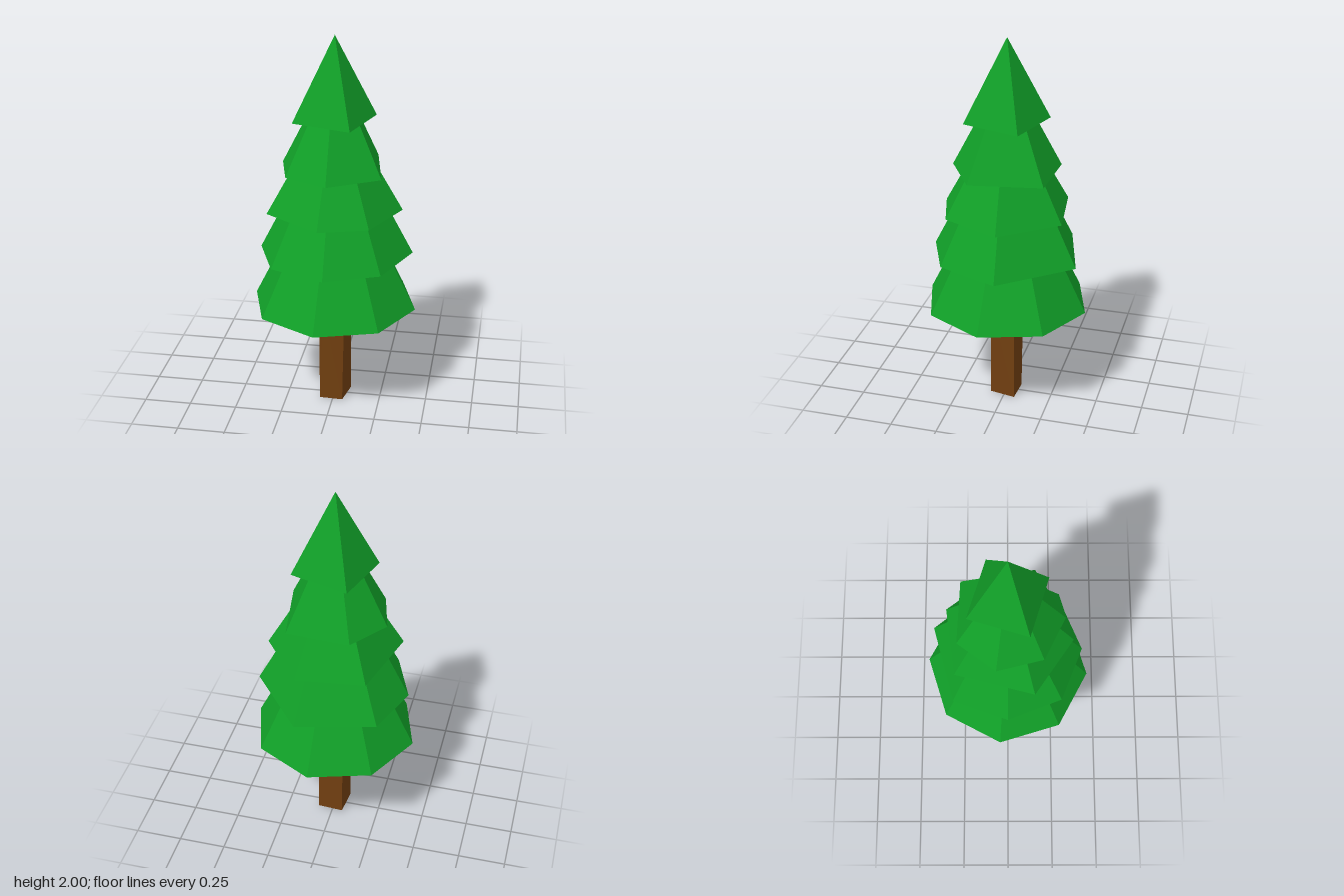
import * as THREE from 'three';

const green = new THREE.MeshStandardMaterial({ color: 0x11a028 });
green.name = 'needle green';
const brown = new THREE.MeshStandardMaterial({ color: 0x713f10 });
brown.name = 'bark brown';
const tan = new THREE.MeshStandardMaterial({ color: 0xd8ae74 });
tan.name = 'cut wood';

// Flat-shaded mesh from a list of triangles; collapsed triangles are skipped
function facetMesh(name, triangles, material) {
  const points = triangles
    .filter((t) => new THREE.Triangle(...t).getArea() > 1e-7)
    .flat();
  const geometry = new THREE.BufferGeometry().setFromPoints(points);
  geometry.computeVertexNormals();
  const mesh = new THREE.Mesh(geometry, material);
  mesh.name = name;
  return mesh;
}

const ring = (points, y) => points.map(([x, z]) => new THREE.Vector3(x, y, z));

// Side walls between two rings of equal length
function walls(low, high) {
  return low.flatMap((a, i) => {
    const j = (i + 1) % low.length;
    return [[a, high[i], high[j]], [a, high[j], low[j]]];
  });
}

// Downward-facing cap
function cap(low) {
  const centre = low.reduce((s, p) => s.add(p), new THREE.Vector3()).divideScalar(low.length);
  return low.map((a, i) => [centre, a, low[(i + 1) % low.length]]);
}

// Ring of corners at given [degrees, radius]
const polar = (corners) => corners.map(([deg, r]) => {
  const a = THREE.MathUtils.degToRad(deg);
  return [r * Math.cos(a), r * Math.sin(a)];
});
const regular = (n, start, r) => Array.from({ length: n }, (_, i) => [start + (i * 360) / n, r]);

export function createModel() {
  const tree = new THREE.Group();
  tree.name = 'pineTree';

  // Foliage tiers, bottom to top: slightly irregular cones
  const tiers = [
    { base: 0.56, apex: 1.43, corners: regular(8, 5.5, 0.435) },
    {
      base: 0.85, apex: 1.62,
      corners: [[45, 0.392], [90, 0.392], [135, 0.398], [180, 0.392], [225, 0.405], [286.6, 0.41], [354.4, 0.407]],
    },
    {
      base: 1.09, apex: 1.7,
      corners: [[51, 0.34], [96, 0.339], [157.5, 0.357], [230.7, 0.352], [292.2, 0.343], [354.6, 0.35]],
    },
    {
      base: 1.31, apex: 1.86,
      corners: [[28, 0.291], [90, 0.287], [141, 0.284], [191.7, 0.286], [242, 0.287], [309.2, 0.306]],
    },
    { base: 1.57, apex: 2, corners: regular(4, 62, 0.225) },
  ];
  tiers.forEach(({ base, apex, corners }, i) => {
    const low = ring(polar(corners), base);
    const high = low.map(() => new THREE.Vector3(0, apex, 0));
    tree.add(facetMesh(`foliageTier${i + 1}`, [...walls(low, high), ...cap(low)], green));
  });

  // Trunk: a slightly twisted post with a chamfered upper corner
  const foot = ring([[0.08, -0.06], [0.053, 0.077], [-0.07, 0.072], [-0.07, 0.072], [-0.055, -0.068]], 0);
  const head = ring([[0.08, -0.058], [0.063, 0.073], [-0.053, 0.078], [-0.08, 0.03], [-0.06, -0.074]], 0.57);
  tree.add(facetMesh('trunk', walls(foot, head), brown));
  tree.add(facetMesh('trunkCut', cap(foot), tan));

  return tree;
}
